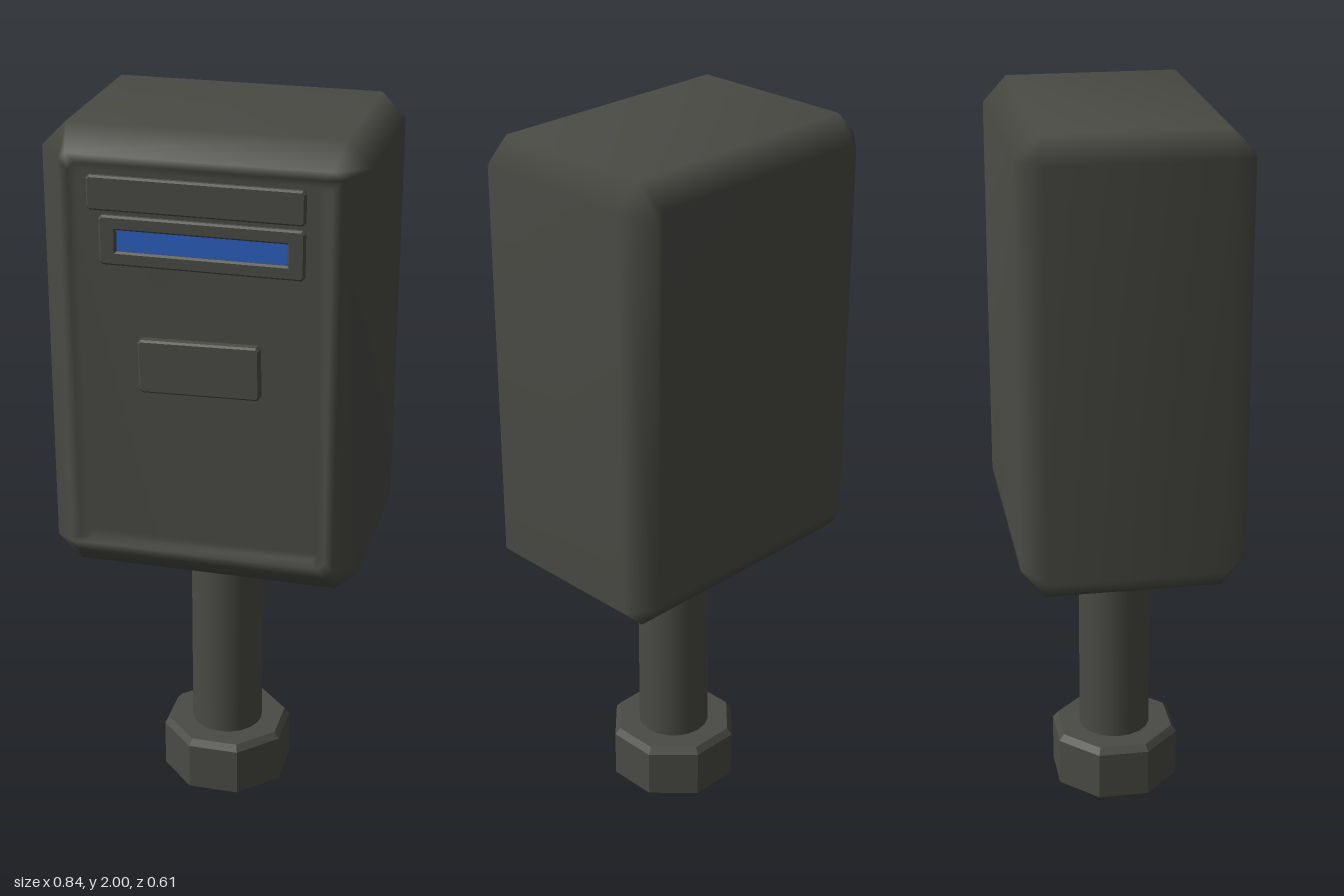
import * as THREE from 'three';
import { mergeVertices, toCreasedNormals } from 'three/addons/utils/BufferGeometryUtils.js';

const grey = new THREE.MeshStandardMaterial({ color: 0x4a4a45 });
grey.name = 'dark grey';
const blue = new THREE.MeshStandardMaterial({ color: 0x2c60c2 });
blue.name = 'slot blue';

function add(group, name, geometry, material, x = 0, y = 0, z = 0) {
  const mesh = new THREE.Mesh(geometry, material);
  mesh.name = name;
  mesh.position.set(x, y, z);
  group.add(mesh);
  return mesh;
}

// Rectangle with cut corners, counter-clockwise
function cutRect(w, h, c) {
  return [
    [w, -h + c], [w, h - c], [w - c, h], [-w + c, h],
    [-w, h - c], [-w, -h + c], [-w + c, -h], [w - c, -h],
  ];
}

// Chamfered box lofted from back to front, ending in a shallow recessed panel
function bodyGeometry() {
  const W = 0.422, H = 0.617;
  const rings = [ // z, inset, corner cut
    [-0.305, 0.065, 0.02], [-0.24, 0, 0.065], [0.23, 0, 0.065],
    [0.295, 0.062, 0.02], [0.295, 0.085, 0.02], [0.283, 0.105, 0.02],
  ];
  const pos = [], idx = [];
  for (const [z, inset, cut] of rings) {
    for (const [x, y] of cutRect(W - inset, H - inset, cut)) pos.push(x, y, z);
  }
  for (let r = 0; r < rings.length - 1; r++) {
    for (let i = 0; i < 8; i++) {
      const a = r * 8 + i, b = r * 8 + (i + 1) % 8;
      idx.push(a, b, b + 8, a, b + 8, a + 8);
    }
  }
  const last = (rings.length - 1) * 8;
  for (let i = 1; i < 7; i++) {
    idx.push(0, i + 1, i);
    idx.push(last, last + i, last + i + 1);
  }
  let g = new THREE.BufferGeometry();
  g.setAttribute('position', new THREE.Float32BufferAttribute(pos, 3));
  g.setIndex(idx);
  g = mergeVertices(g);
  g.computeVertexNormals(); // large faces dominate, so chamfers blend softly
  return g;
}

// Thin slab with a small bevel; an optional rectangular hole
function slab(w, h, depth, hole) {
  const s = new THREE.Shape(cutRect(w / 2, h / 2, 0.008).map(p => new THREE.Vector2(...p)));
  if (hole) {
    const [a, b] = [hole[0] / 2, hole[1] / 2];
    s.holes.push(new THREE.Path([[-a, -b], [-a, b], [a, b], [a, -b]].map(p => new THREE.Vector2(...p))));
  }
  return new THREE.ExtrudeGeometry(s, {
    depth: depth - 0.005, bevelThickness: 0.005, bevelSize: 0.005, bevelOffset: -0.005, bevelSegments: 1,
  });
}

export function createModel() {
  const model = new THREE.Group();
  model.name = 'boxOnPost';

  add(model, 'body', bodyGeometry(), grey, 0, 1.383, 0);

  // Front details
  const front = new THREE.Group();
  front.name = 'frontDetails';
  model.add(front);
  add(front, 'slotFrame', slab(0.53, 0.13, 0.014, [0.44, 0.056]), grey, 0.005, 1.718, 0.282);
  add(front, 'slotInsert', new THREE.BoxGeometry(0.45, 0.066, 0.006), blue, 0.0, 1.718, 0.284);
  add(front, 'slotHood', slab(0.56, 0.09, 0.015), grey, -0.01, 1.84, 0.282);
  const plate = add(front, 'namePlate', slab(0.32, 0.145, 0.025), grey, 0, 1.392, 0.282);
  plate.rotation.z = 0.025;

  // Post and octagonal foot
  add(model, 'post', new THREE.CylinderGeometry(0.102, 0.102, 0.64, 20), grey, 0, 0.46, 0);
  const R = 0.172 / Math.cos(Math.PI / 8);
  const profile = [[0, 0], [R - 0.012, 0], [R, 0.012], [R, 0.15], [R - 0.015, 0.168], [0, 0.168]];
  const foot = new THREE.LatheGeometry(profile.map(p => new THREE.Vector2(...p)), 8, Math.PI / 8);
  add(model, 'foot', toCreasedNormals(foot, 0.6), grey);

  return model;
}
